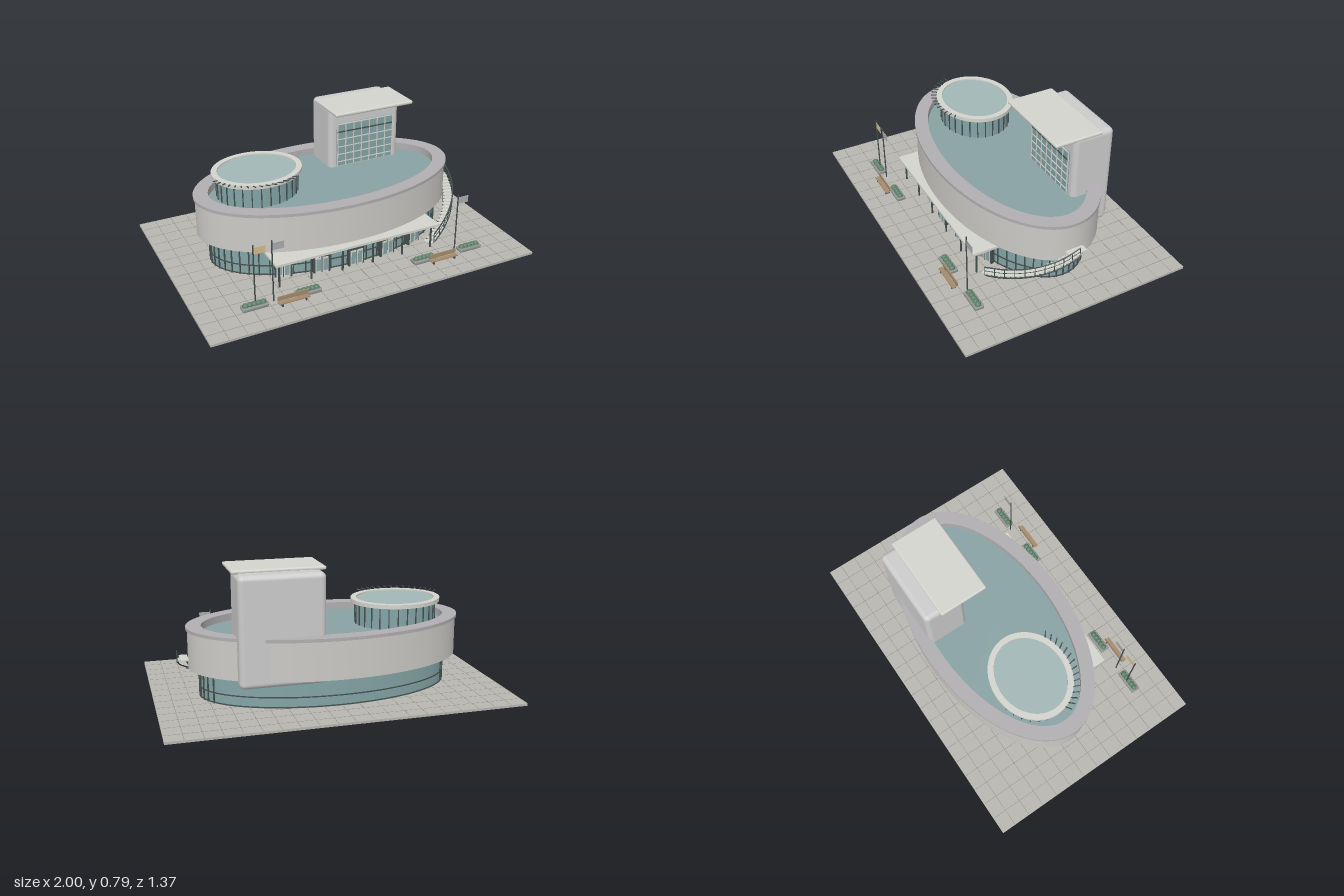
import * as THREE from 'three';
import { toCreasedNormals } from 'three/addons/utils/BufferGeometryUtils.js';
import { RoundedBoxGeometry } from 'three/addons/geometries/RoundedBoxGeometry.js';

const mat = (color, side = THREE.FrontSide) => new THREE.MeshStandardMaterial({ color, side });
const M = {
  wall: mat(0xcccac6), cap: mat(0xb0aeb0), tower: mat(0xbcbcbc), pale: mat(0xd4d4ce),
  glass: mat(0x84a4a6), roof: mat(0x88a2a3), skylight: mat(0xa2b7b6), dark: mat(0x44504f),
  paving: mat(0xb8b6b0), joint: mat(0x96948e), wood: mat(0xa58a6c), stone: mat(0x8f9490),
  leaf: mat(0x5d8068), flag: mat(0xa8adad, THREE.DoubleSide), tan: mat(0xd2bd8c, THREE.DoubleSide),
};

// Surface through horizontal ellipses [rx, rz, y], listed bottom to top on the outside
function ellipseLoft(rings, cx, cz, seg = 112) {
  const pos = [], idx = [];
  rings.forEach(([rx, rz, y], i) => {
    for (let j = 0; j <= seg; j++) {
      const t = (j / seg) * Math.PI * 2;
      pos.push(cx + rx * Math.cos(t), y, cz + rz * Math.sin(t));
      if (i && j < seg) {
        const a = (i - 1) * (seg + 1) + j, b = a + seg + 1;
        if (rings[i][0] > 0) idx.push(a, b, b + 1);
        if (rings[i - 1][0] > 0) idx.push(a, b + 1, a + 1);
      }
    }
  });
  const g = new THREE.BufferGeometry();
  g.setAttribute('position', new THREE.Float32BufferAttribute(pos, 3));
  g.setIndex(idx);
  return toCreasedNormals(g, 0.5);
}

export function createModel() {
  const model = new THREE.Group();
  const group = (name, parent = model) => {
    const g = new THREE.Group();
    g.name = name;
    parent.add(g);
    return g;
  };
  const add = (name, geo, material, parent = model) => {
    const m = new THREE.Mesh(geo, material);
    m.name = name;
    parent.add(m);
    return m;
  };
  const box = (name, w, h, d, x, y, z, material, parent) => {
    const m = add(name, new THREE.BoxGeometry(w, h, d), material, parent);
    m.position.set(x, y, z);
    return m;
  };
  const bar = (name, a, b, r, material, parent) => {
    const dir = b.clone().sub(a);
    const m = add(name, new THREE.CylinderGeometry(r, r, dir.length(), 6), material, parent);
    m.position.copy(a).add(b).multiplyScalar(0.5);
    m.quaternion.setFromUnitVectors(new THREE.Vector3(0, 1, 0), dir.normalize());
    return m;
  };
  const onEllipse = (cx, cz, rx, rz, t, y) =>
    new THREE.Vector3(cx + rx * Math.cos(t), y, cz + rz * Math.sin(t));
  // Turn that points a box's +z along the ellipse normal
  const normalYaw = (rx, rz, t) => Math.atan2(Math.cos(t) / rx, Math.sin(t) / rz);

  // Paved plaza
  const plaza = group('plaza');
  box('slab', 2, 0.014, 1.365, 0, 0.008, -0.002, M.paving, plaza);
  for (let i = -9; i <= 9; i++) box('pavingJoint', 0.003, 0.001, 1.36, i * 0.1, 0.0152, -0.002, M.joint, plaza);
  for (let i = -6; i <= 6; i++) box('pavingJoint', 1.99, 0.001, 0.003, 0, 0.0152, i * 0.1, M.joint, plaza);

  // Glazed ground floor
  const base = group('groundFloor');
  const bx = 0.735, bz = 0.373, bcz = -0.058;
  add('glassWall', ellipseLoft([[bx, bz, 0.012], [bx, bz, 0.2]], 0, bcz), M.glass, base);
  for (const y of [0.018, 0.075, 0.17]) {
    add('transom', ellipseLoft([[bx, bz, y], [bx + 0.005, bz + 0.005, y], [bx + 0.005, bz + 0.005, y + 0.006],
      [bx, bz, y + 0.006]], 0, bcz), M.dark, base);
  }
  for (let i = 0; i <= 38; i++) {
    const t = -0.4 + (i / 38) * (Math.PI + 0.8);
    const p = onEllipse(0, bcz, bx, bz, t, 0.1);
    box('mullion', 0.007, 0.18, 0.012, p.x, p.y, p.z, M.dark, base).rotation.y = normalYaw(bx, bz, t);
  }

  // Entrance doors
  for (let i = -2; i <= 2; i++) {
    const t = Math.acos((i * 0.21) / bx);
    const door = group('entranceDoor', base);
    door.position.copy(onEllipse(0, bcz, bx, bz, t, 0));
    door.rotation.y = normalYaw(bx, bz, t);
    box('frame', 0.1, 0.125, 0.03, 0, 0.077, 0.01, M.dark, door);
    for (const s of [-1, 1]) {
      box('leaf', 0.036, 0.1, 0.006, s * 0.021, 0.066, 0.026, M.pale, door);
      box('pane', 0.025, 0.075, 0.004, s * 0.021, 0.068, 0.029, M.glass, door);
    }
  }

  // Entrance canopy
  const canopy = group('canopy');
  box('canopySlab', 1.04, 0.014, 0.17, 0, 0.171, 0.305, M.pale, canopy);
  for (let i = 0; i < 6; i++) {
    const x = -0.49 + i * 0.196;
    bar('canopyColumn', new THREE.Vector3(x, 0.012, 0.357), new THREE.Vector3(x, 0.168, 0.357), 0.006, M.dark, canopy);
  }

  // Upper oval drum, its rim and roof
  const drum = group('ovalDrum'), dz = -0.073;
  add('drumWall', ellipseLoft([[0.6, 0.3, 0.19], [0.798, 0.433, 0.19], [0.798, 0.433, 0.415]], 0, dz), M.wall, drum);
  add('rim', ellipseLoft([[0.79, 0.425, 0.41], [0.806, 0.441, 0.41], [0.806, 0.441, 0.428],
    [0.72, 0.358, 0.428], [0.72, 0.358, 0.375]], 0, dz), M.cap, drum);
  add('mainRoof', ellipseLoft([[0.73, 0.365, 0.385], [0, 0, 0.385]], 0, dz), M.roof, drum);

  // Round roof pavilion
  const pav = group('roofPavilion'), px = -0.42, pz = -0.102;
  add('pavilionGlass', ellipseLoft([[0.238, 0.204, 0.38], [0.238, 0.204, 0.515]], px, pz), M.glass, pav);
  add('pavilionRim', ellipseLoft([[0.23, 0.195, 0.512], [0.265, 0.228, 0.512], [0.265, 0.228, 0.535],
    [0.231, 0.194, 0.535], [0.231, 0.194, 0.52]], px, pz), M.pale, pav);
  add('skylight', ellipseLoft([[0.235, 0.198, 0.527], [0, 0, 0.527]], px, pz), M.skylight, pav);
  for (let i = 0; i < 28; i++) {
    const t = (i / 28) * Math.PI * 2, p = onEllipse(px, pz, 0.239, 0.205, t, 0.45);
    box('pavilionMullion', 0.006, 0.13, 0.008, p.x, p.y, p.z, M.dark, pav).rotation.y = normalYaw(0.239, 0.205, t);
  }
  for (let i = 0; i < 15; i++) {
    const t = 1.05 + i * 0.133;
    bar('sunFin', onEllipse(px, pz, 0.255, 0.218, t, 0.53), onEllipse(px, pz, 0.3, 0.262, t - 0.06, 0.542), 0.0035, M.dark, pav);
  }

  // Tower with curtain wall and overhanging roof slab
  const tower = group('tower');
  add('towerBody', new RoundedBoxGeometry(0.478, 0.617, 0.25, 4, 0.03), M.tower, tower).position.set(0.332, 0.4635, -0.32);
  box('curtainWall', 0.385, 0.275, 0.014, 0.333, 0.53, -0.194, M.glass, tower);
  for (let i = 0; i <= 7; i++) box('towerMullion', 0.005, 0.275, 0.006, 0.143 + i * 0.0543, 0.53, -0.186, M.pale, tower);
  for (let i = 0; i <= 5; i++) box('towerTransom', 0.385, i === 4 ? 0.008 : 0.005, 0.006, 0.333, 0.42 + i * 0.049, -0.186, i === 4 ? M.dark : M.pale, tower);
  add('towerRoof', new RoundedBoxGeometry(0.52, 0.022, 0.293, 3, 0.01), M.pale, tower).position.set(0.33, 0.777, -0.207);

  // Curved outside stair with railings
  const stair = group('curvedStair');
  const sx = 0.83, sz = 0.48, steps = 22;
  const stairPoint = (k, off, dy) => onEllipse(0, -0.07, sx + off, sz + off, 0.9 - k * 0.9, 0.018 + k * 0.228 + dy);
  for (let i = 0; i < steps; i++) {
    const k = i / (steps - 1), p = stairPoint(k, 0, 0);
    box('step', 0.032, 0.007, 0.055, p.x, p.y, p.z, M.pale, stair).rotation.y = normalYaw(sx, sz, 0.9 - k * 0.9);
  }
  box('landing', 0.045, 0.008, 0.11, 0.822, 0.25, -0.07, M.pale, stair);
  const sweep = (name, off, dy, r) => {
    const pts = [0, 0.2, 0.4, 0.6, 0.8, 1].map((k) => stairPoint(k, off, dy));
    add(name, new THREE.TubeGeometry(new THREE.CatmullRomCurve3(pts), 32, r, 6), M.dark, stair);
  };
  sweep('outerStringer', 0.027, -0.007, 0.006);
  sweep('innerStringer', -0.024, -0.007, 0.006);
  sweep('outerHandrail', 0.03, 0.055, 0.004);
  sweep('midRail', 0.03, 0.028, 0.002);
  for (let i = 0; i <= 10; i++) {
    bar('railPost', stairPoint(i / 10, 0.03, -0.01), stairPoint(i / 10, 0.03, 0.055), 0.0025, M.dark, stair);
  }

  // Planters with clipped shrubs
  for (const x of [-0.685, -0.37, 0.37, 0.685]) {
    const planter = group('planter');
    planter.position.set(x, 0, 0.475);
    add('trough', new RoundedBoxGeometry(0.148, 0.022, 0.056, 2, 0.008), M.stone, planter).position.y = 0.025;
    for (let i = -2; i <= 2; i++) {
      const shrub = add('shrub', new THREE.SphereGeometry(0.018, 10, 8), M.leaf, planter);
      shrub.position.set(i * 0.025, 0.036, 0);
    }
  }

  // Benches
  for (const x of [-0.477, 0.475]) {
    const bench = group('bench');
    bench.position.set(x, 0, 0.525);
    box('seat', 0.178, 0.006, 0.026, 0, 0.035, 0.004, M.wood, bench);
    box('backrest', 0.178, 0.026, 0.006, 0, 0.053, -0.013, M.wood, bench);
    for (const s of [-1, 1]) box('benchLeg', 0.008, 0.022, 0.028, s * 0.07, 0.023, 0, M.dark, bench);
  }

  // Flagpoles
  [[-0.675, M.tan], [-0.57, M.flag], [0.59, M.flag]].forEach(([x, cloth]) => {
    const pole = group('flagpole');
    bar('pole', new THREE.Vector3(x, 0, 0.465), new THREE.Vector3(x, 0.39, 0.465), 0.004, M.dark, pole);
    box('flag', 0.068, 0.042, 0.002, x + 0.036, 0.352, 0.465, cloth, pole);
  });

  return model;
}
